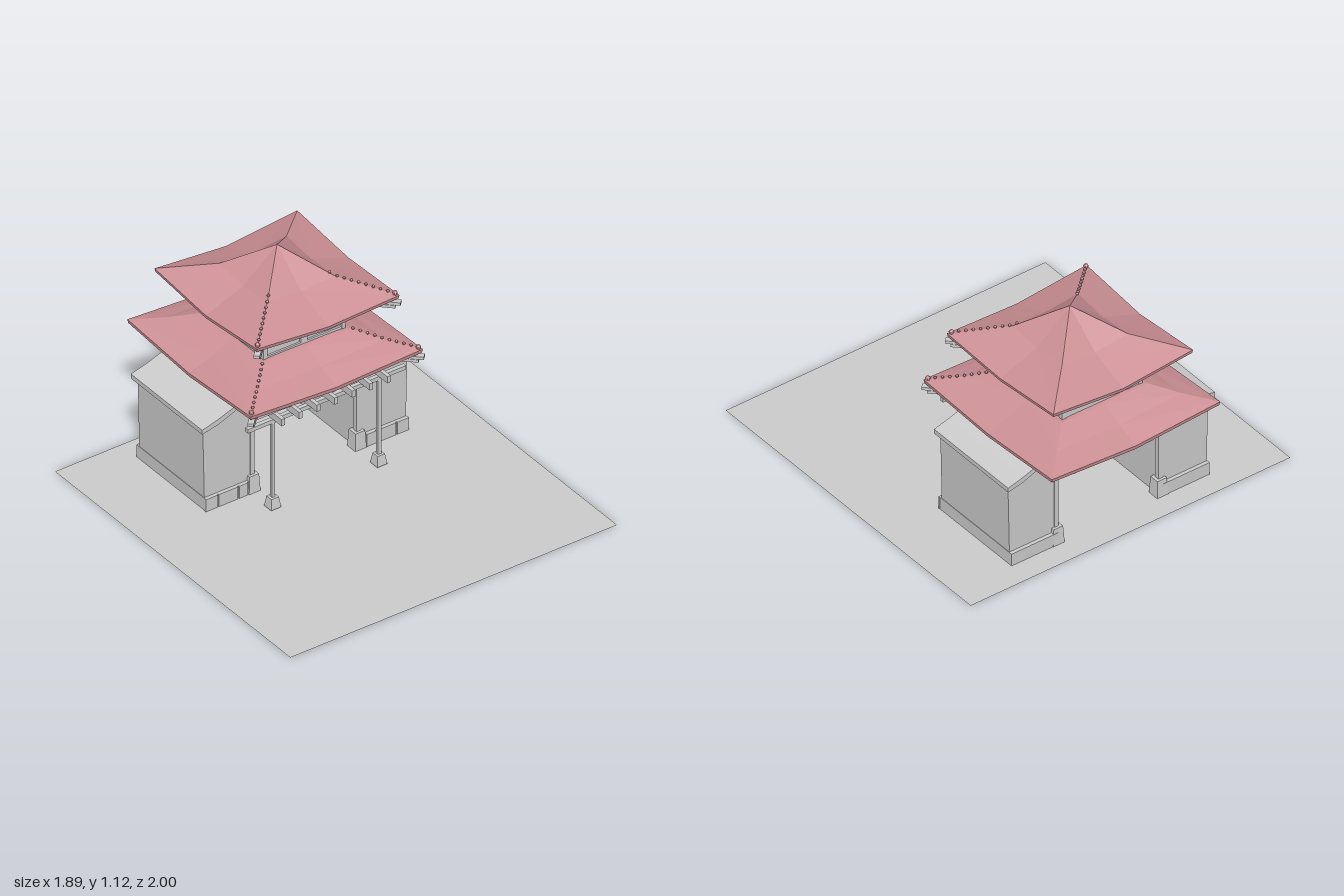
import * as THREE from 'three';

export function createModel() {
  const model = new THREE.Group();
  const mat = (name, color) => new THREE.MeshStandardMaterial({ name, color, flatShading: true, side: THREE.DoubleSide });
  const stone = mat('paleGrey', 0xcccccc);
  const tile = mat('roofRed', 0xcc9095);
  const GATE_X = 0.022, ROOF_X = 0.042, ROOF_Z = -0.5;

  const add = (name, geometry, material, parent = model) => {
    const mesh = new THREE.Mesh(geometry, material);
    mesh.name = name;
    parent.add(mesh);
    return mesh;
  };
  // box given by its min and max on each axis
  const box = (name, x0, x1, y0, y1, z0, z1, parent = model) => {
    const mesh = add(name, new THREE.BoxGeometry(x1 - x0, y1 - y0, z1 - z0), stone, parent);
    mesh.position.set((x0 + x1) / 2, (y0 + y1) / 2, (z0 + z1) / 2);
    return mesh;
  };
  // tapered square block standing on y
  const footing = (name, x, z, y, h, top, bottom, parent) => {
    const g = new THREE.CylinderGeometry(top * Math.SQRT1_2, bottom * Math.SQRT1_2, h, 4);
    g.rotateY(Math.PI / 4);
    add(name, g, stone, parent).position.set(x, y + h / 2, z);
  };

  // ground sheet
  const ground = add('ground', new THREE.PlaneGeometry(1.89, 1.9), stone);
  ground.rotation.x = -Math.PI / 2;
  ground.position.z = 0.05;

  // side buildings, drawn for +x and mirrored
  for (const s of [1, -1]) {
    const side = new THREE.Group();
    side.name = s > 0 ? 'leftHouse' : 'rightHouse';
    side.position.x = GATE_X;
    model.add(side);
    const prism = (name, pts, z0, z1) => {
      const shape = new THREE.Shape(pts.map(([x, y]) => new THREE.Vector2(s * x, y)));
      const g = new THREE.ExtrudeGeometry(shape, { depth: z1 - z0, bevelEnabled: false });
      add(name, g, stone, side).position.z = z0;
    };
    const bar = (name, x0, x1, y0, y1, z0, z1) =>
      box(name, Math.min(s * x0, s * x1), Math.max(s * x0, s * x1), y0, y1, z0, z1, side);
    prism('houseWall', [[0.3, 0.004], [0.582, 0.004], [0.592, 0.465], [0.4, 0.53], [0.3, 0.54]], -0.755, -0.23);
    prism('houseRoof', [[0.28, 0.535], [0.4, 0.522], [0.52, 0.475], [0.612, 0.455], [0.612, 0.48], [0.52, 0.505], [0.4, 0.547], [0.28, 0.558]], -0.783, -0.207);
    bar('plinth', 0.3, 0.586, 0.003, 0.072, -0.775, -0.217);
    for (const [a, b] of [[0.345, 0.395], [0.402, 0.512], [0.519, 0.588]])
      bar('plinthStone', a, b, 0.003, 0.072, -0.22, -0.21);
    for (const z of [-0.24, -0.745]) {
      bar('cornerPost', 0.295, 0.32, 0.09, 0.54, z - 0.014, z + 0.014);
      footing('cornerPostBase', s * 0.307, z, 0.003, 0.095, 0.055, 0.066, side);
    }
    // free-standing front post
    bar('frontPost', 0.298, 0.316, 0.06, 0.49, -0.074, -0.056);
    footing('frontPostBase', s * 0.307, -0.064, 0.006, 0.056, 0.042, 0.058, side);
  }

  // beams over the passage
  box('frontBeam', -0.435, 0.48, 0.485, 0.507, -0.076, -0.054);
  for (const z of [-0.064, -0.25, -0.74]) box('crossBeam', -0.38, 0.475, 0.543, 0.57, z - 0.012, z + 0.012);
  for (let i = 0; i < 7; i++) {
    const x = -0.28 + i * 0.102;
    box('passageBeam', x - 0.01, x + 0.01, 0.507, 0.545, -0.91, 0.015);
  }

  // upper storey with frames on three sides and a plain back
  const storey = new THREE.Group();
  storey.name = 'upperStorey';
  storey.position.set(ROOF_X, 0, ROOF_Z);
  model.add(storey);
  box('storeyWall', -0.225, 0.225, 0.66, 0.89, -0.235, 0.225, storey);
  for (const x of [-0.227, 0.227]) for (const z of [-0.227, 0.227])
    box('storeyCornerPost', x - 0.011, x + 0.011, 0.66, 0.89, z - 0.011, z + 0.011, storey);
  for (let k = -1; k <= 1; k++) {
    const frame = new THREE.Group();
    frame.name = 'panelFrame';
    frame.rotation.y = k * Math.PI / 2;
    storey.add(frame);
    box('middlePost', -0.019, 0.019, 0.69, 0.87, 0.222, 0.235, frame);
    box('bottomRail', -0.22, 0.22, 0.685, 0.703, 0.222, 0.235, frame);
    box('topRail', -0.22, 0.22, 0.855, 0.872, 0.222, 0.235, frame);
  }

  // roof from square rings: [half width, corner height, mid-side height]
  const skirtRoof = (name, cx, rings, tilt) => {
    const pos = [], index = [];
    const dirs = [[1, 1], [0, 1], [-1, 1], [-1, 0], [-1, -1], [0, -1], [1, -1], [1, 0]];
    const eave = rings[1][0];
    for (const [h, yc, ym] of rings) dirs.forEach(([dx, dz], i) => {
      const drop = i === 0 ? tilt * h / eave : 0;
      pos.push(cx + dx * h, (i % 2 ? ym : yc) - drop, ROOF_Z + dz * h);
    });
    for (let r = 0; r < rings.length - 1; r++) for (let i = 0; i < 8; i++) {
      const a = r * 8 + i, b = r * 8 + (i + 1) % 8;
      // split each quad away from the hip so both halves match
      if (i % 2) index.push(a, b, a + 8, b, b + 8, a + 8);
      else index.push(a, b, b + 8, a, b + 8, a + 8);
    }
    const g = new THREE.BufferGeometry();
    g.setAttribute('position', new THREE.Float32BufferAttribute(pos, 3));
    g.setIndex(index);
    g.computeVertexNormals();
    add(name, g, tile);

    // ridge tiles and corner rafters on the two front hips
    for (const s of [-1, 1]) {
      const dropAt = h => (s > 0 ? tilt * h / eave : 0);
      for (let k = 0; k < 10; k++) {
        const h = eave - 0.012 - k * 0.0245;
        const r = rings.findIndex((ring, i) => i >= 2 && ring[0] <= h);
        const [h0, y0] = rings[r - 1], [h1, y1] = rings[r];
        const y = y0 + (y1 - y0) * (h0 - h) / (h0 - h1) - dropAt(h);
        add('ridgeTile', new THREE.SphereGeometry(k ? 0.008 : 0.013, 8, 6), tile)
          .position.set(cx + s * h, y + 0.006, ROOF_Z + h);
      }
      for (const [dy, len] of [[-0.024, 0.3], [-0.042, 0.25]]) {
        const rafter = add('cornerRafter', new THREE.BoxGeometry(0.03, 0.016, len), stone);
        const d = eave + 0.008 - len * Math.SQRT1_2 / 2 + (dy + 0.024);
        rafter.position.set(cx + s * d, rings[1][1] + dy - dropAt(eave), ROOF_Z + d);
        rafter.rotation.y = s * Math.PI / 4;
      }
    }
  };
  skirtRoof('lowerRoof', ROOF_X, [
    [0.24, 0.65, 0.65], [0.495, 0.598, 0.567], [0.498, 0.618, 0.588], [0.37, 0.65, 0.635], [0.255, 0.692, 0.688], [0.22, 0.695, 0.695],
  ], 0.012);
  skirtRoof('upperRoof', 0.053, [
    [0.2, 0.935, 0.925], [0.41, 0.9, 0.862], [0.413, 0.918, 0.88], [0.195, 0.982, 0.962], [0.001, 1.12, 1.12],
  ], 0.022);
  return model;
}
